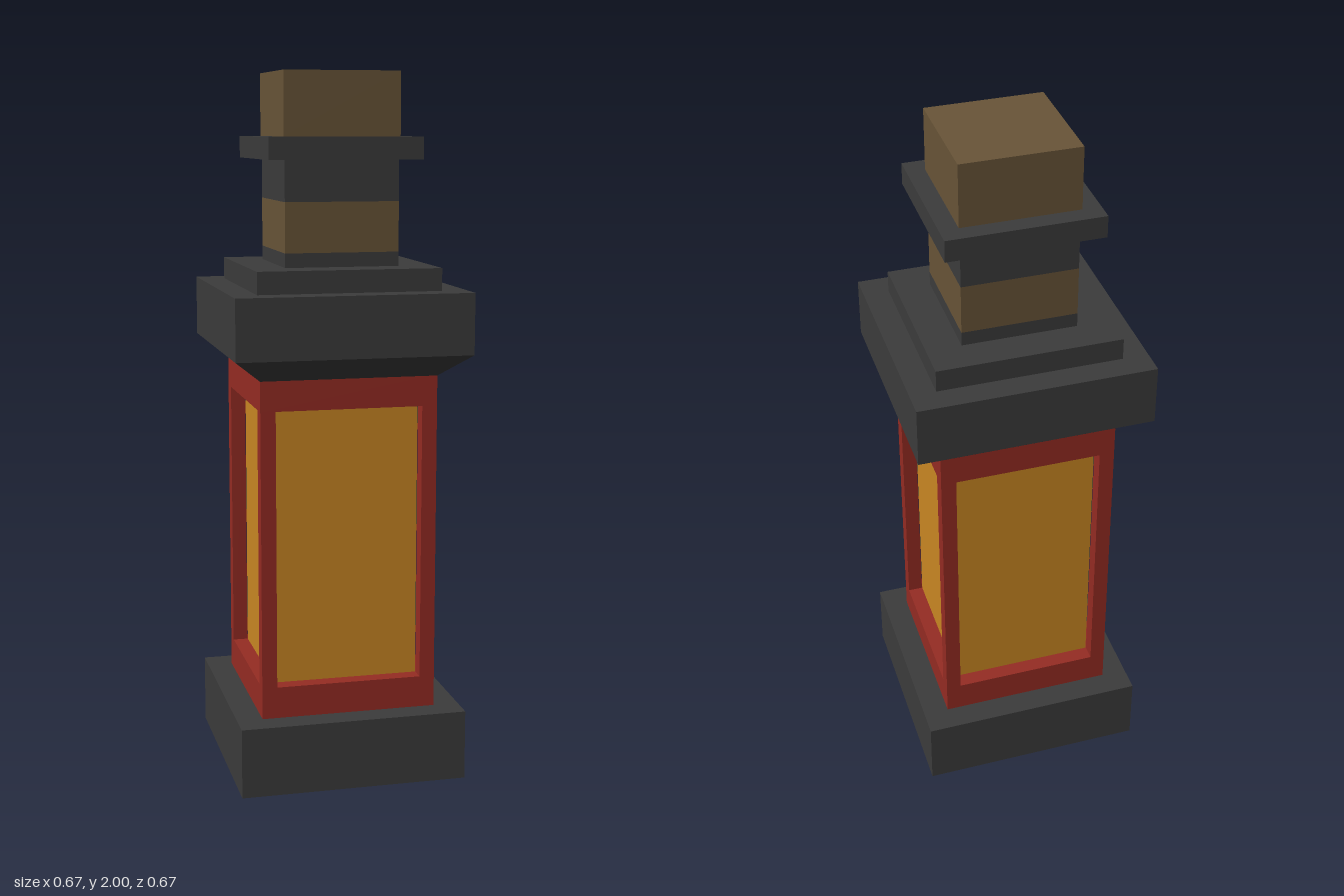
import * as THREE from 'three';

export function createModel() {
  const model = new THREE.Group();
  const paint = (name, color) => {
    const m = new THREE.MeshStandardMaterial({ color });
    m.name = name;
    return m;
  };
  const iron = paint('dark iron', 0x3c3c3c);
  const red = paint('red frame', 0x962c23);
  const amber = paint('amber glass', 0xcb8823);
  const tan = paint('brown wood', 0x695538);

  // Square block with half-width h between two heights
  const block = (name, mat, h, y0, y1, x = 0, z = 0) => {
    const mesh = new THREE.Mesh(new THREE.BoxGeometry(h * 2, y1 - y0, h * 2), mat);
    mesh.position.set(x, (y0 + y1) / 2, z);
    mesh.name = name;
    model.add(mesh);
  };

  block('base', iron, 0.325, 0, 0.2);

  // Lantern body: glass core, rails and four corner posts
  block('lowerRail', red, 0.252, 0.2, 0.29);
  block('glass', amber, 0.208, 0.29, 1.08);
  block('upperRail', red, 0.252, 1.08, 1.17);
  for (const x of [-1, 1])
    for (const z of [-1, 1]) block('cornerPost', red, 0.0215, 0.29, 1.08, x * 0.2305, z * 0.2305);

  // Flared underside of the cap
  const flare = new THREE.CylinderGeometry(0.333 * Math.SQRT2, 0.252 * Math.SQRT2, 0.065, 4, 1)
    .rotateY(Math.PI / 4).toNonIndexed();
  flare.computeVertexNormals();
  const flareMesh = new THREE.Mesh(flare, iron);
  flareMesh.position.y = 1.1975;
  flareMesh.name = 'capFlare';
  model.add(flareMesh);

  block('cap', iron, 0.333, 1.23, 1.402);
  block('capStep', iron, 0.26, 1.402, 1.465);

  // Banded neck, flange and plug
  block('neckLower', iron, 0.162, 1.465, 1.505);
  block('neckBand', tan, 0.162, 1.505, 1.645);
  block('neckUpper', iron, 0.162, 1.645, 1.76);
  block('flange', iron, 0.217, 1.76, 1.822);
  block('plug', tan, 0.165, 1.822, 2);

  return model;
}
